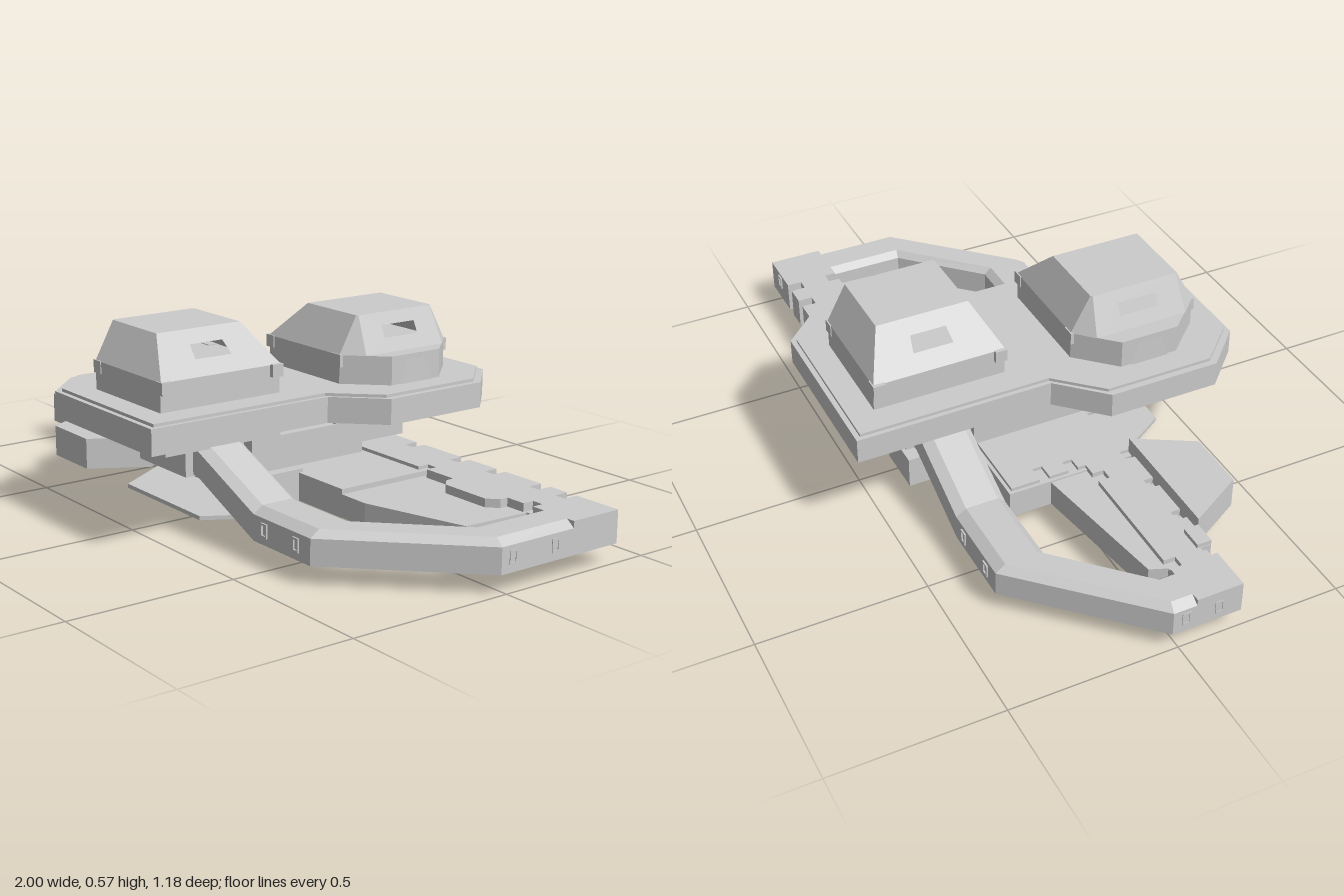
import * as THREE from 'three';

const grey = new THREE.MeshStandardMaterial({ color: 0xcccccc, flatShading: true });
const greyThin = new THREE.MeshStandardMaterial({ color: 0xcccccc, flatShading: true, side: THREE.DoubleSide });

function add(parent, name, geometry, material = grey) {
  const mesh = new THREE.Mesh(geometry, material);
  mesh.name = name;
  parent.add(mesh);
  return mesh;
}

// Box given by its min and max on each axis
function box(parent, name, x0, x1, y0, y1, z0, z1) {
  const m = add(parent, name, new THREE.BoxGeometry(x1 - x0, y1 - y0, z1 - z0));
  m.position.set((x0 + x1) / 2, (y0 + y1) / 2, (z0 + z1) / 2);
  return m;
}

const toPoints = (pts) => pts.map(([x, z]) => new THREE.Vector2(x, -z));

// Flat plate from an (x, z) outline between two heights
function plate(parent, name, pts, y0, y1, hole) {
  const shape = new THREE.Shape(toPoints(pts));
  if (hole) shape.holes.push(new THREE.Path(toPoints(hole)));
  const g = new THREE.ExtrudeGeometry(shape, { depth: y1 - y0, bevelEnabled: false });
  g.rotateX(-Math.PI / 2).translate(0, y0, 0);
  return add(parent, name, g);
}

// Edge along x with square notches cut to depth d (in z)
function notchedEdge(x0, x1, z, d, notches, w = 0.018) {
  const s = Math.sign(x1 - x0), out = [[x0, z]];
  [...notches].sort((a, b) => s * (a - b)).forEach((n) =>
    out.push([n - s * w, z], [n - s * w, z + d], [n + s * w, z + d], [n + s * w, z]));
  out.push([x1, z]);
  return out;
}

// Chamfered bar through rows of [outerX, outerZ, innerX, innerZ, baseY]
function barGeometry(rows) {
  const section = [[0, 0], [0, 0.075], [0.2, 0.095], [0.85, 0.095], [1, 0.075], [1, 0]];
  const n = section.length, pos = [], index = [];
  for (const [ox, oz, ix, iz, y] of rows)
    for (const [t, h] of section) pos.push(ox + (ix - ox) * t, y + h, oz + (iz - oz) * t);
  for (let i = 0; i < rows.length - 1; i++)
    for (let j = 0; j < n; j++) {
      const a = i * n + j, b = i * n + (j + 1) % n;
      index.push(a, a + n, b + n, a, b + n, b);
    }
  const last = (rows.length - 1) * n;
  for (let j = 1; j < n - 1; j++) index.push(0, j, j + 1, last, last + j + 1, last + j);
  let g = new THREE.BufferGeometry();
  g.setAttribute('position', new THREE.Float32BufferAttribute(pos, 3));
  g.setIndex(index);
  g = g.toNonIndexed();
  g.computeVertexNormals();
  return g;
}

// Four-cornered panel (low a-b, high d-c), with an optional slit
function panelGeometry(a, b, c, d, slit) {
  const shape = new THREE.Shape([[0, 0], [1, 0], [1, 1], [0, 1]].map((p) => new THREE.Vector2(...p)));
  if (slit) {
    const [u0, u1, v0, v1] = slit;
    shape.holes.push(new THREE.Path([[u0, v0], [u0, v1], [u1, v1], [u1, v0]].map((p) => new THREE.Vector2(...p))));
  }
  const g = new THREE.ShapeGeometry(shape), p = g.attributes.position;
  const [A, B, C, D] = [a, b, c, d].map((q) => new THREE.Vector3(...q));
  for (let i = 0; i < p.count; i++) {
    const low = A.clone().lerp(B, p.getX(i)), high = D.clone().lerp(C, p.getX(i));
    low.lerp(high, p.getY(i));
    p.setXYZ(i, low.x, low.y, low.z);
  }
  g.computeVertexNormals();
  return g;
}

// Turret: chamfered base, hollow sloped hood with see-through slits
function createTurret() {
  const t = new THREE.Group();
  t.name = 'turret';
  plate(t, 'turretBase', [[0.16, 0.1], [0.16, 0.5], [-0.18, 0.5], [-0.285, 0.39], [-0.285, 0.21], [-0.18, 0.1]], 0.37, 0.46);
  const low = [[0.165, 0.5], [0.165, 0.1], [-0.18, 0.1], [-0.235, 0.155], [-0.235, 0.445], [-0.18, 0.5]];
  const high = [[0.05, 0.44], [0.05, 0.16], [-0.18, 0.16], [-0.185, 0.165], [-0.185, 0.435], [-0.18, 0.44]];
  const slits = { 0: [0.33, 0.67, 0.36, 0.68], 3: [0.28, 0.72, 0.36, 0.68] };
  low.forEach((p, i) => {
    const k = (i + 1) % low.length, q = low[k], r = high[k], s = high[i];
    add(t, 'hoodPanel', panelGeometry([p[0], 0.46, p[1]], [q[0], 0.46, q[1]],
      [r[0], 0.57, r[1]], [s[0], 0.57, s[1]], slits[i]), greyThin);
  });
  plate(t, 'hoodRoof', high, 0.564, 0.57);
  // Latches at the hood corners
  for (const z of [0.115, 0.485])
    for (const x of [0.15, -0.175]) box(t, 'latch', x - 0.012, x + 0.025, 0.425, 0.462, z - 0.018, z + 0.018);
  // Tapered hatch on the chamfered side
  add(t, 'hatch', panelGeometry([-0.29, 0.375, 0.24], [-0.29, 0.375, 0.36], [-0.288, 0.445, 0.335], [-0.288, 0.445, 0.265]), greyThin);
  box(t, 'turretFoot', -0.165, 0.165, 0.25, 0.3, 0.1, 0.49);
  return t;
}

export function createModel() {
  const model = new THREE.Group();
  model.name = 'model';

  // Upper platform with a hollow underside
  const half = [[0.255, 0], [0.255, 0.59], [-0.26, 0.59], [-0.38, 0.47], [-0.38, 0.13]];
  const outline = [...half, ...half.map(([x, z]) => [-x, -z])];
  const inset = outline.map(([x, z]) => [x * 0.95, z * 0.975]);
  plate(model, 'platformRim', outline, 0.29, 0.366, outline.map(([x, z]) => [x * 0.9, z * 0.94]));
  plate(model, 'platformTop', inset, 0.335, 0.375);
  for (const turn of [0, Math.PI]) {
    const turret = createTurret();
    turret.rotation.y = turn;
    model.add(turret);
  }

  // Looping bars that ramp up below the platform
  const barRows = (endZ) => [
    [-0.13, 0.37, -0.13, 0.22, 0.17], [0.14, 0.37, 0.14, 0.22, 0.17], [0.41, 0.37, 0.41, 0.22, 0.055],
    [0.66, 0.37, 0.65, 0.22, 0.055], [1, 0.02, 0.87, 0, 0.055], [1, endZ, 0.87, endZ, 0.055]];
  add(model, 'leftLoopBar', barGeometry(barRows(-0.25)));
  add(model, 'rightLoopBar', barGeometry(barRows(-0.06))).rotation.y = Math.PI;

  // Pedestal between hull and platform
  box(model, 'pedestal', -0.13, 0.13, 0.14, 0.26, -0.1, 0.1);
  box(model, 'pedestalCap', -0.1, 0.1, 0.24, 0.34, -0.06, 0.06);
  for (const s of [-1, 1]) {
    box(model, 'pedestalArm', -0.12, 0.12, 0.165, 0.26, s * 0.245 - 0.15, s * 0.245 + 0.15);
    box(model, 'pedestalSide', s * 0.145 - 0.02, s * 0.145 + 0.02, 0.15, 0.25, -0.2, 0.2);
  }

  // Central hull and lower decks
  plate(model, 'hull', [[-0.4, 0.19], [-0.4, -0.2], [-0.15, -0.2], [-0.15, -0.38], [0.4, -0.38], [0.4, 0.06], [0.2, 0.06], [0.2, 0.19]], 0.056, 0.14);
  plate(model, 'leftDeck', [[0.2, -0.38], [0.98, -0.38], [0.98, -0.25], [0.82, -0.24], [0.81, -0.03], [0.5, 0.06], [0.2, 0.06]], 0.057, 0.125);
  plate(model, 'rightDeck', [[-0.98, 0.18], [-0.98, 0.05], [-0.85, 0.05], [-0.83, 0], [-0.4, -0.07], [-0.3, -0.07], [-0.3, 0.18]], 0.057, 0.135);

  // Raised notched edge strips
  const cuts = [0.4, 0.55, 0.73, 0.83];
  plate(model, 'leftEdgeStrip', [
    ...notchedEdge(-0.15, 1, -0.4, 0.045, [0.02, 0.2, ...cuts]),
    ...notchedEdge(1, 0.77, -0.235, -0.035, [0.83]),
    [0.75, -0.235], [0.75, -0.21], [0.72, -0.18], [0.56, -0.18], [0.53, -0.21], [0.53, -0.235],
    ...notchedEdge(0.5, -0.15, -0.235, -0.035, [0.4])], 0.055, 0.15);
  plate(model, 'rightEdgeStrip', [
    ...notchedEdge(0.2, -1, 0.19, -0.03, [-0.85, -0.69, -0.54, -0.4, -0.2, -0.02, 0.13]),
    [-1, 0.05], ...notchedEdge(-0.88, 0.2, 0.045, 0.035, [-0.85, -0.45])], 0.055, 0.15);
  plate(model, 'sideStep', [[-0.39, -0.19], [-0.15, -0.19], [-0.15, 0.06], [-0.39, 0.06], [-0.39, 0.02],
    [-0.35, 0.02], [-0.35, -0.01], [-0.39, -0.01], [-0.39, -0.07], [-0.34, -0.07], [-0.34, -0.1], [-0.39, -0.1]], 0.056, 0.15);

  // Front flaps
  plate(model, 'frontFlap', [[-0.73, 0.215], [-0.63, 0.39], [-0.44, 0.39], [-0.34, 0.215]], 0.055, 0.15);
  plate(model, 'flapBridge', [[-0.7, 0.17], [-0.7, 0.23], [-0.36, 0.23], [-0.36, 0.17]], 0.056, 0.09);
  plate(model, 'underFlap', [[-0.33, 0.18], [-0.2, 0.39], [0.18, 0.39], [0.3, 0.18]], 0.055, 0.067);
  box(model, 'edgeBlock', -0.83, -0.76, 0.045, 0.163, 0.15, 0.194);

  // Keel: trapezoid fin below the hull
  const keel = new THREE.Shape([[-0.19, 0.057], [-0.14, 0], [0.16, 0], [0.21, 0.057]].map((p) => new THREE.Vector2(...p)));
  add(model, 'keel', new THREE.ExtrudeGeometry(keel, { depth: 0.08, bevelEnabled: false })).position.z = -0.18;
  box(model, 'keelPad', -0.13, 0.13, 0.043, 0.06, -0.06, 0.06);

  // Small framed sockets along the outer faces
  const socket = (x, y, z, turn) => {
    const frame = new THREE.Shape([[-0.013, -0.02], [0.013, -0.02], [0.013, 0.02], [-0.013, 0.02]].map((p) => new THREE.Vector2(...p)));
    frame.holes.push(new THREE.Path([[-0.008, -0.014], [-0.008, 0.014], [0.008, 0.014], [0.008, -0.014]].map((p) => new THREE.Vector2(...p))));
    const m = add(model, 'socket', new THREE.ExtrudeGeometry(frame, { depth: 0.006, bevelEnabled: false }));
    m.position.set(x, y, z);
    m.rotation.y = turn;
  };
  for (const x of [-0.9, -0.61, -0.46, -0.09, 0.06]) socket(x, 0.122, 0.189, 0);
  for (const x of [0.46, 0.6]) {
    socket(x, 0.097, 0.369, 0);
    socket(-x, 0.097, -0.369, Math.PI);
  }
  for (const z of [-0.02, -0.17]) socket(0.996, 0.097, z, Math.PI / 2);
  for (const z of [0.02, 0.12]) socket(-0.996, 0.097, z, -Math.PI / 2);
  for (const x of [0.1, 0.3, 0.47, 0.64, 0.92]) socket(x, 0.122, -0.399, Math.PI);

  return model;
}
